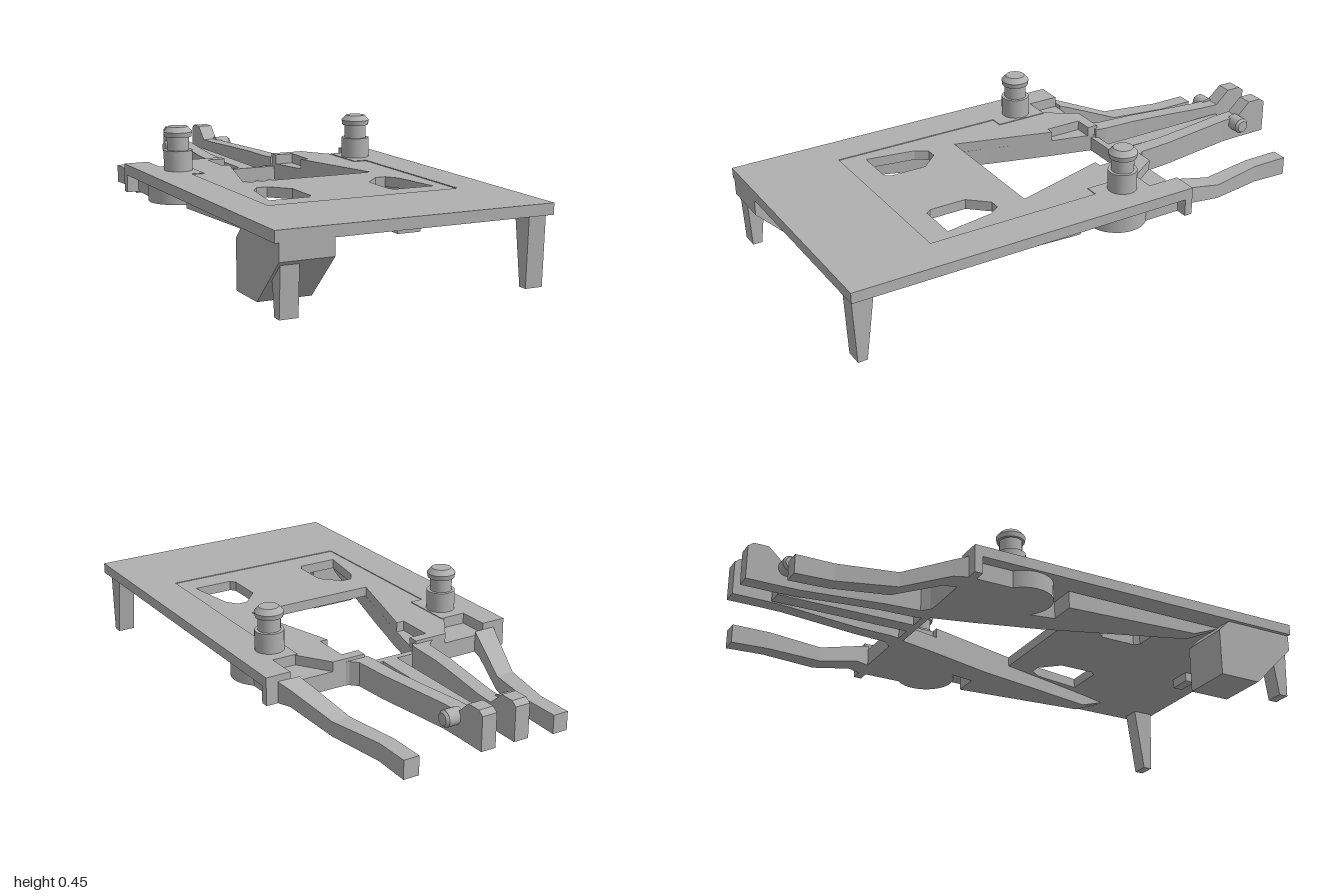
import * as THREE from 'three';

const grey = new THREE.MeshStandardMaterial({ color: 0xb0b0b0 });
grey.name = 'plain grey';

export function createModel() {
  const model = new THREE.Group();
  model.name = 'chassisPlate';

  const add = (name, geometry, x = 0, y = 0, z = 0) => {
    const mesh = new THREE.Mesh(geometry, grey);
    mesh.name = name;
    mesh.position.set(x, y, z);
    model.add(mesh);
    return mesh;
  };

  // Box given by its limits
  const box = (name, x0, x1, y0, y1, z0, z1) =>
    add(name, new THREE.BoxGeometry(x1 - x0, y1 - y0, z1 - z0),
      (x0 + x1) / 2, (y0 + y1) / 2, (z0 + z1) / 2);

  // Rectangular sections [z, x0, x1, y0, y1], listed front to back
  const loft = (name, sections, side = 1) => {
    const pos = [];
    const rings = sections.map(([z, a, b, y0, y1]) => {
      const x0 = side > 0 ? a : -b, x1 = side > 0 ? b : -a;
      return [[x0, y0, z], [x1, y0, z], [x1, y1, z], [x0, y1, z]];
    });
    const quad = (a, b, c, d) => pos.push(...a, ...b, ...c, ...a, ...c, ...d);
    for (let k = 0; k + 1 < rings.length; k++) {
      const a = rings[k], b = rings[k + 1];
      for (let i = 0; i < 4; i++) {
        const j = (i + 1) % 4;
        quad(a[i], b[i], b[j], a[j]);
      }
    }
    quad(...rings[0]);
    quad(...rings[rings.length - 1].slice().reverse());
    const g = new THREE.BufferGeometry();
    g.setAttribute('position', new THREE.Float32BufferAttribute(pos, 3));
    g.computeVertexNormals();
    return add(name, g);
  };

  // Flat slab from a plan outline in (x, z)
  const plan = pts => pts.map(([x, z]) => new THREE.Vector2(x, -z));
  const mirrored = half => [...half, ...half.slice().reverse().map(([x, z]) => [-x, z])];
  const slab = (name, outline, holes, y0, y1) => {
    const shape = new THREE.Shape(plan(outline));
    for (const h of holes) shape.holes.push(new THREE.Path(plan(h)));
    const g = new THREE.ExtrudeGeometry(shape, { depth: y1 - y0, bevelEnabled: false });
    g.rotateX(-Math.PI / 2);
    return add(name, g, 0, y0, 0);
  };

  // Main plate with a tapered opening and two windows
  const window = [[0.15, 0.39], [0.215, 0.32], [0.255, 0.32], [0.285, 0.365],
    [0.315, 0.55], [0.165, 0.55], [0.15, 0.53]];
  slab('mainPlate', mirrored([[0.505, 1], [0.505, -0.34], [0.41, -0.34], [0.41, -0.22],
    [0.32, -0.22], [0.24, -0.34], [0.11, -0.34], [0.11, -0.3], [0.18, -0.3],
    [0.18, -0.16], [0.15, -0.16], [0.255, 0.21]]),
  [window, window.map(([x, z]) => [-x, z])], 0.245, 0.282);

  // Slightly raised rim around the inner panel
  slab('raisedRim', mirrored([[0.505, 1], [0.505, -0.34], [0.41, -0.34], [0.41, -0.22],
    [0.31, -0.22], [0.31, -0.02], [0.36, -0.02], [0.36, 0.64]]), [], 0.282, 0.285);

  // Rear bridge, centre bar and small front catch
  box('rearBridge', -0.11, 0.11, 0.18, 0.235, -0.34, -0.315);
  box('centreBar', -0.03, 0.03, 0.18, 0.235, -0.86, -0.34);
  box('frontCatch', -0.025, 0.06, 0.21, 0.245, 0.86, 0.9);

  for (const s of [1, -1]) {
    // Beam under the plate, ramped at its front end
    loft('sideBeam', [[0.73, 0.4, 0.42, 0.244, 0.245], [0.62, 0.365, 0.42, 0.2, 0.245],
      [0.08, 0.218, 0.42, 0.18, 0.245]], s);
    loft('innerBeam', [[0.08, 0.218, 0.32, 0.18, 0.245], [-0.16, 0.15, 0.28, 0.18, 0.245],
      [-0.34, 0.105, 0.24, 0.18, 0.245]], s);
    loft('rearFloor', [[-0.1, 0.24, 0.46, 0.18, 0.245], [-0.34, 0.2, 0.46, 0.18, 0.245]], s);
    loft('cornerTab', [[-0.31, 0.46, 0.505, 0.18, 0.245], [-0.34, 0.46, 0.505, 0.18, 0.245]], s);
    add('postBoss', new THREE.CylinderGeometry(0.11, 0.11, 0.065, 32), s * 0.385, 0.2125, -0.09);

    // Outer arm bends down and inward
    loft('outerArm', [[-0.34, 0.375, 0.46, 0.18, 0.26], [-0.39, 0.36, 0.44, 0.18, 0.243],
      [-0.56, 0.31, 0.38, 0.125, 0.18], [-0.775, 0.275, 0.335, 0.115, 0.18],
      [-0.915, 0.275, 0.335, 0.11, 0.18]], s);

    // Inner arm with flared root and raised tip
    loft('innerArm', [[-0.33, 0.1, 0.21, 0.18, 0.27], [-0.345, 0.095, 0.175, 0.18, 0.27],
      [-0.37, 0.09, 0.15, 0.18, 0.27], [-0.5, 0.085, 0.14, 0.18, 0.27],
      [-0.65, 0.065, 0.118, 0.18, 0.27], [-0.8, 0.042, 0.097, 0.18, 0.27],
      [-0.87, 0.038, 0.095, 0.18, 0.27], [-0.925, 0.038, 0.095, 0.18, 0.32],
      [-0.98, 0.038, 0.095, 0.18, 0.32], [-1, 0.038, 0.095, 0.18, 0.305]], s);

    // Sideways pin near the arm tip
    const pin = add('armPin', new THREE.CylinderGeometry(0.03, 0.03, 0.055, 20), s * 0.11, 0.25, -0.857);
    pin.rotation.z = Math.PI / 2;
    const cap = add('armPinEnd', new THREE.CylinderGeometry(0.022, 0.03, 0.01, 20), s * 0.142, 0.25, -0.857);
    cap.rotation.z = -s * Math.PI / 2;

    // Upright post: base, neck and chamfered head [bottom r, top r, y0, y1]
    const stack = [['postBase', 0.053, 0.053, 0.285, 0.36], ['postNeck', 0.041, 0.041, 0.36, 0.41],
      ['postHeadLower', 0.05, 0.053, 0.41, 0.428], ['postHeadTop', 0.053, 0.036, 0.428, 0.447]];
    for (const [name, rb, rt, y0, y1] of stack)
      add(name, new THREE.CylinderGeometry(rt, rb, y1 - y0, 24), s * 0.37, (y0 + y1) / 2, -0.127);

    // Tapered front leg
    const leg = new THREE.Shape([[-0.99, 0.245], [-0.98, 0], [-0.945, 0], [-0.91, 0.245]]
      .map(([x, y]) => new THREE.Vector2(x, y)));
    const g = new THREE.ExtrudeGeometry(leg, { depth: 0.065, bevelEnabled: false });
    g.rotateY(Math.PI / 2);
    add('frontLeg', g, s * 0.4475 - 0.0325, 0, 0);
  }

  // Corner block with a sloping front face
  const profile = new THREE.Shape([[-1, 0.282], [-1, 0.185], [-0.84, 0.025], [-0.68, 0.025],
    [-0.68, 0.2], [-0.73, 0.25], [-0.73, 0.282]].map(([x, y]) => new THREE.Vector2(x, y)));
  const block = new THREE.ExtrudeGeometry(profile, { depth: 0.19, bevelEnabled: false });
  block.rotateY(Math.PI / 2);
  add('cornerBlock', block, -0.49, 0, 0);

  return model;
}
